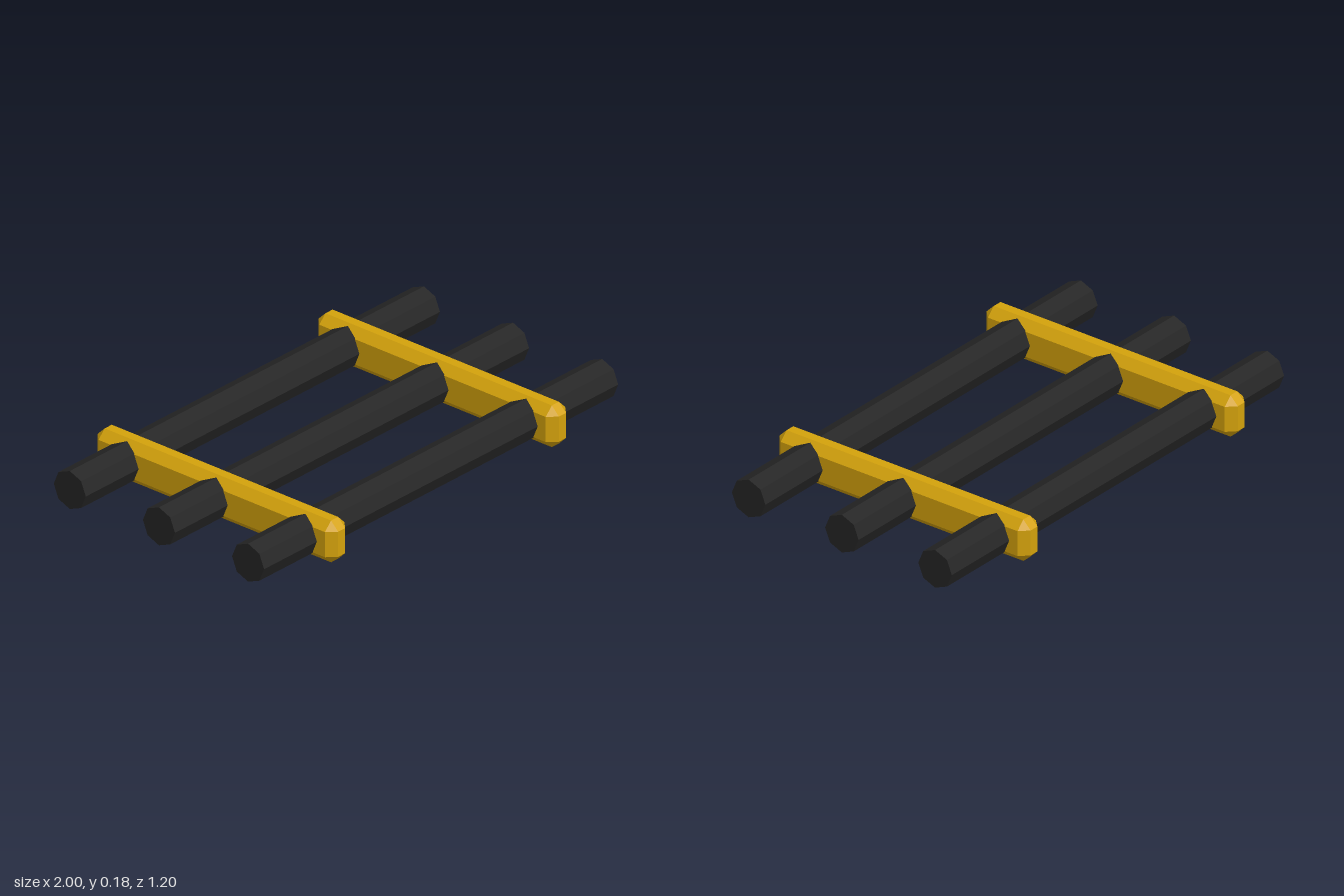
import * as THREE from 'three';
import { ConvexGeometry } from 'three/addons/geometries/ConvexGeometry.js';

// Box with all edges and corners cut off at 45 degrees
function chamferedBox(width, height, depth, cut) {
  const w = width / 2, h = height / 2, d = depth / 2;
  const points = [];
  for (const sx of [-1, 1]) for (const sy of [-1, 1]) for (const sz of [-1, 1]) {
    points.push(
      new THREE.Vector3(sx * w, sy * (h - cut), sz * (d - cut)),
      new THREE.Vector3(sx * (w - cut), sy * h, sz * (d - cut)),
      new THREE.Vector3(sx * (w - cut), sy * (h - cut), sz * d)
    );
  }
  return new ConvexGeometry(points);
}

// Eight-sided bar along x, one edge pointing up, flat faces
function octagonBar(radius, length) {
  const geometry = new THREE.CylinderGeometry(radius, radius, length, 8).toNonIndexed();
  geometry.rotateZ(Math.PI / 2);
  geometry.computeVertexNormals();
  return geometry;
}

export function createModel() {
  const model = new THREE.Group();
  model.name = 'barRack';

  const black = new THREE.MeshStandardMaterial({ color: 0x252525 });
  black.name = 'black';
  const gold = new THREE.MeshStandardMaterial({ color: 0xd4a20c });
  gold.name = 'gold';

  const add = (name, geometry, material, x, y, z) => {
    const mesh = new THREE.Mesh(geometry, material);
    mesh.name = name;
    mesh.position.set(x, y, z);
    model.add(mesh);
  };

  // Three long parallel bars
  const barGeometry = octagonBar(0.08, 2);
  [['frontBar', 0.445], ['middleBar', 0], ['backBar', -0.445]].forEach(([name, z]) =>
    add(name, barGeometry, black, 0, 0.087, z));

  // Two crosspieces holding the bars, set slightly off centre
  const crossGeometry = chamferedBox(0.11, 0.176, 1.2, 0.035);
  [['rightCrosspiece', -0.647], ['leftCrosspiece', 0.6]].forEach(([name, x]) =>
    add(name, crossGeometry, gold, x, 0.088, 0));

  return model;
}
